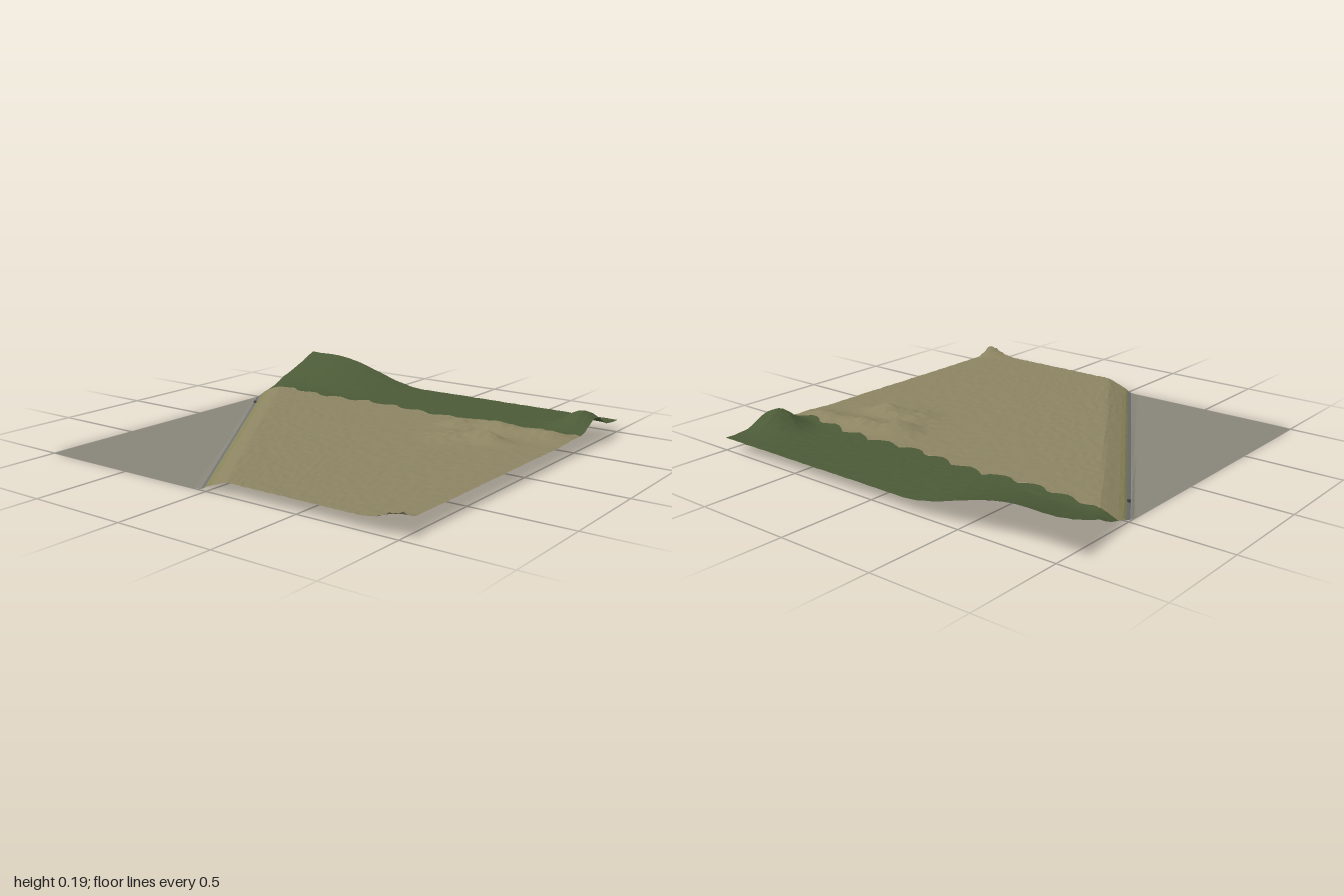
import * as THREE from 'three';

const { lerp, smoothstep, clamp } = THREE.MathUtils;

// x of the straight road edge that cuts across the ground
const edgeX = z => -1 + (z + 0.5) * 0.653;

// small repeatable unevenness
const hash = (x, z) => {
  const s = Math.sin(Math.round(x * 997) * 12.9898 + Math.round(z * 997) * 78.233) * 43758.5453;
  return s - Math.floor(s) - 0.5;
};

// mounds: x, z, height, radius in x, radius in z
const MOUNDS = [
  [0.93, -0.73, 0.093, 0.12, 0.1],
  [0.6, -0.46, 0.043, 0.12, 0.07],
  [0.42, -0.4, 0.042, 0.09, 0.08],
  [0.66, -0.24, 0.048, 0.1, 0.055],
  [0.5, -0.2, 0.022, 0.12, 0.09],
  [0.85, -0.48, 0.03, 0.12, 0.07],
  [1.0, 1.0, 0.046, 0.09, 0.07],
];

function height(x, z) {
  const d = x - edgeX(z);
  // bank from the gravel up to the plain
  const t = clamp((d + 0.03) / 0.17, 0, 1);
  let y = lerp(0.007, 0.07, Math.pow(t, 0.9));
  if (Math.abs(d) < 0.012) y -= 0.004;
  // corner hill at the back
  const fall = 1 - smoothstep(x, -0.82, -0.18);
  y += 0.13 * fall * Math.pow(clamp((-0.62 - z) / 0.38, 0, 1), 1.3);
  let rough = 0.003 * t;
  for (const [mx, mz, h, rx, rz] of MOUNDS) {
    const g = Math.exp(-(((x - mx) / rx) ** 2) - ((z - mz) / rz) ** 2);
    y += h * g;
    rough += 0.008 * g * (h < 0.05 ? 1 : 0.5);
  }
  return Math.max(0, y + rough * hash(x, z));
}

// scalloped border between grass and sand
const scallop = x => (0.045 * Math.abs(Math.sin((x + 1) * 17.5)) - 0.01 + 0.012 * Math.sin(x * 9))
  * clamp((x + 1) * 4, 0, 1);
const BORDER = -0.577;

// a patch of ground: place(u, v) gives [x, z]
function patch(name, color, nu, nv, place) {
  const geo = new THREE.PlaneGeometry(1, 1, nu, nv);
  const pos = geo.attributes.position;
  for (let i = 0; i < pos.count; i++) {
    const u = pos.getX(i) + 0.5, v = 0.5 - pos.getY(i);
    const [x, z] = place(u, v);
    pos.setXYZ(i, x, height(x, z), z);
  }
  geo.computeVertexNormals();
  const mesh = new THREE.Mesh(geo, new THREE.MeshStandardMaterial({
    color, flatShading: true, side: THREE.DoubleSide,
  }));
  mesh.name = name;
  return mesh;
}

// a narrow band that follows the road edge
const band = (name, color, d0, d1, n) => patch(name, color, n, 70, (u, v) => {
  const z = lerp(BORDER, 1, v);
  return [Math.max(-1, edgeX(z) + lerp(d0, d1, u)), z];
});

export function createModel() {
  const model = new THREE.Group();
  model.name = 'terrain';

  // grass hills along the back
  model.add(patch('grassHills', 0x4b5a37, 64, 16, (u, v) => {
    const x = lerp(-1, 1, u);
    return [x, lerp(-1, BORDER + scallop(x), v)];
  }));

  // sandy plain, its left side following the road edge
  model.add(patch('sandPlain', 0x8c8462, 64, 56, (u, v) => {
    const z = lerp(BORDER, 1, v);
    const x = lerp(edgeX(z) + 0.05, 1, u);
    return [x, z + scallop(x) * (1 - v) ** 8 * clamp(u * 8, 0, 1)];
  }));

  // grassy bank and kerb
  model.add(band('bank', 0x87835a, 0.01, 0.05, 3));
  model.add(band('kerb', 0x707070, -0.01, 0.01, 2));

  // low gravel triangle
  model.add(patch('gravel', 0x88867a, 24, 40, (u, v) => {
    const z = lerp(-0.485, 1, v);
    return [lerp(-1, edgeX(z) - 0.01, u), z];
  }));

  // small marker post beside the kerb
  const post = new THREE.Mesh(
    new THREE.BoxGeometry(0.012, 0.012, 0.012),
    new THREE.MeshStandardMaterial({ color: 0x444444 }),
  );
  post.name = 'markerPost';
  post.position.set(-0.895, height(-0.895, -0.34) + 0.005, -0.34);
  model.add(post);

  return model;
}
